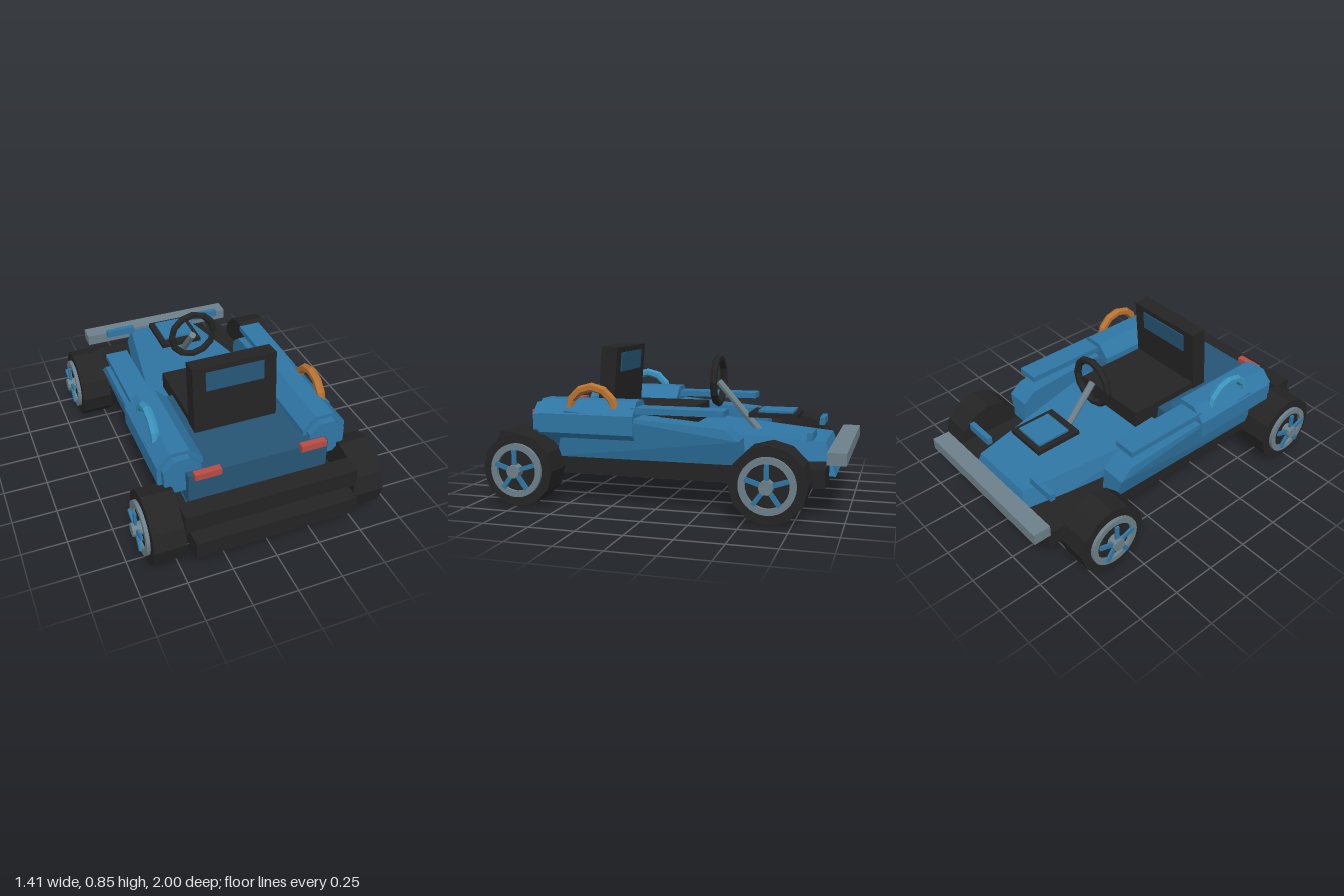
import * as THREE from 'three';
import { ConvexGeometry } from 'three/addons/geometries/ConvexGeometry.js';

const paint = (name, color) => {
  const m = new THREE.MeshStandardMaterial({ color, flatShading: true });
  m.name = name;
  return m;
};

export function createModel() {
  const blue = paint('blue', 0x2f76a4), deepBlue = paint('deep blue', 0x265575);
  const black = paint('black', 0x242424), grey = paint('grey', 0x6c8089);
  const orange = paint('orange', 0xb87230), sky = paint('sky blue', 0x3a93bd);
  const red = paint('red', 0xb84c44);
  const car = new THREE.Group();
  car.name = 'buggy';

  const add = (name, geo, mat, parent = car) => {
    const m = new THREE.Mesh(geo, mat);
    m.name = name;
    parent.add(m);
    return m;
  };
  // Box given by its minimum and maximum along each axis
  const box = (name, mat, x0, x1, y0, y1, z0, z1, parent = car) => {
    const m = add(name, new THREE.BoxGeometry(x1 - x0, y1 - y0, z1 - z0), mat, parent);
    m.position.set((x0 + x1) / 2, (y0 + y1) / 2, (z0 + z1) / 2);
    return m;
  };
  const hull = (name, mat, pts) =>
    add(name, new ConvexGeometry(pts.map(p => new THREE.Vector3(...p))), mat);

  // Chassis and bumpers; the nose points to -z
  box('chassis', black, -0.45, 0.45, 0.16, 0.258, -0.89, 1);
  box('rearBumper', black, -0.48, 0.48, 0.28, 0.38, 0.82, 0.93);
  box('noseBumper', grey, -0.485, 0.485, 0.29, 0.355, -1, -0.9);

  // Rear deck and tapering nose
  box('rearDeck', deepBlue, -0.395, 0.395, 0.28, 0.468, 0.06, 0.745);
  box('rearSill', blue, -0.395, 0.395, 0.25, 0.28, 0.06, 0.74);
  const nose = [];
  for (const s of [-1, 1]) {
    nose.push([s * 0.2, 0.36, -0.865], [s * 0.235, 0.18, -0.925],
      [s * 0.35, 0.42, 0.015], [s * 0.365, 0.2, 0.015]);
  }
  hull('nose', blue, nose);

  // Seat, leaning slightly towards the nose
  box('seatCushion', black, -0.235, 0.235, 0.4, 0.51, -0.11, 0.36);
  const back = new THREE.Group();
  back.name = 'seatBack';
  back.position.set(0, 0.63, 0.37);
  back.rotation.x = -0.08;
  car.add(back);
  box('seatBackPanel', black, -0.24, 0.24, -0.2, 0.222, -0.047, 0.047, back);
  box('seatStripe', deepBlue, -0.167, 0.167, 0.08, 0.19, -0.053, 0.053, back);

  // Instrument panel, steering wheel and column
  box('instrumentPanel', black, -0.125, 0.125, 0.465, 0.49, -0.7, -0.425);
  box('instrumentScreen', blue, -0.093, 0.093, 0.49, 0.503, -0.67, -0.475);
  const wheel = add('steeringWheel', new THREE.TorusGeometry(0.132, 0.021, 6, 12), black);
  wheel.position.set(0, 0.655, -0.225);
  const from = new THREE.Vector3(0, 0.37, -0.47), to = new THREE.Vector3(0, 0.65, -0.225);
  const column = add('steeringColumn',
    new THREE.CylinderGeometry(0.02, 0.02, from.distanceTo(to), 8), grey);
  column.position.copy(from).add(to).multiplyScalar(0.5);
  column.quaternion.setFromUnitVectors(new THREE.Vector3(0, 1, 0), to.clone().sub(from).normalize());

  for (const s of [-1, 1]) {
    const side = s > 0 ? 'left' : 'right';
    // Mirrored box
    const sideBox = (name, mat, a, b, ...rest) =>
      box(side + name, mat, Math.min(s * a, s * b), Math.max(s * a, s * b), ...rest);

    // Side pod, with its outer face leaning in towards the floor
    hull(side + 'Pod', blue, [
      [0.36, 0.52, 0.51], [0.53, 0.52, 0.51], [0.36, 0.26, 0.57], [0.485, 0.26, 0.57],
      [0.365, 0.45, -0.38], [0.505, 0.45, -0.38], [0.365, 0.39, -0.45], [0.51, 0.39, -0.45],
      [0.365, 0.26, -0.46], [0.47, 0.26, -0.46],
    ].map(([x, y, z]) => [s * x, y, z]));
    sideBox('PodRail', blue, 0.37, 0.5, 0.512, 0.545, -0.37, 0.14);
    sideBox('NoseFin', blue, 0.2, 0.38, 0.39, 0.433, -0.815, -0.785);
    sideBox('TailLight', red, 0.225, 0.37, 0.46, 0.497, 0.74, 0.778);

    // Eight-sided tank with a stepped end
    for (const [name, r, z0, z1] of [['Tank', 0.135, 0.115, 0.665], ['TankEnd', 0.11, 0.6, 0.705]]) {
      const t = add(side + name,
        new THREE.CylinderGeometry(r, r, z1 - z0, 8).rotateY(Math.PI / 8).rotateX(Math.PI / 2), blue);
      t.position.set(s * 0.41, 0.45, (z0 + z1) / 2);
    }

    // Arched grab handle
    const handle = add(side + 'Handle',
      new THREE.TorusGeometry(0.135, 0.025, 6, 6, Math.PI).rotateY(Math.PI / 2), s > 0 ? orange : sky);
    handle.position.set(s * 0.48, 0.512, 0.365);

    // Wheels
    for (const [end, z] of [['Rear', 0.735], ['Nose', -0.63]]) {
      const w = new THREE.Group();
      w.name = side + end + 'Wheel';
      w.position.set(s * 0.5625, 0.204, z);
      w.rotation.y = s > 0 ? 0 : Math.PI;
      car.add(w);
      const disc = (name, r, x0, x1, n, mat) => {
        const d = add(name, new THREE.CylinderGeometry(r, r, x1 - x0, n).rotateZ(-Math.PI / 2), mat, w);
        d.position.x = (x0 + x1) / 2;
      };
      disc('tyre', 0.203, -0.0875, 0.0875, 12, black);
      const ring = new THREE.Shape().absarc(0, 0, 0.147, 0, Math.PI * 2);
      ring.holes.push(new THREE.Path().absarc(0, 0, 0.113, 0, Math.PI * 2, true));
      const rim = add('rim', new THREE.ExtrudeGeometry(ring,
        { depth: 0.025, bevelEnabled: false, curveSegments: 16 }).rotateY(Math.PI / 2), grey, w);
      rim.position.x = 0.082;
      for (let i = 0; i < 5; i++) {
        const spoke = add('spoke',
          new THREE.BoxGeometry(0.014, 0.095, 0.024).translate(0.12, 0.0675, 0), blue, w);
        spoke.rotation.x = i * Math.PI * 2 / 5;
      }
      disc('hub', 0.037, 0.08, 0.143, 10, grey);
    }
  }

  // Axles
  for (const z of [0.735, -0.63]) {
    const axle = add('axle', new THREE.CylinderGeometry(0.025, 0.025, 1.1, 8).rotateZ(Math.PI / 2), grey);
    axle.position.set(0, 0.21, z);
  }
  return car;
}
